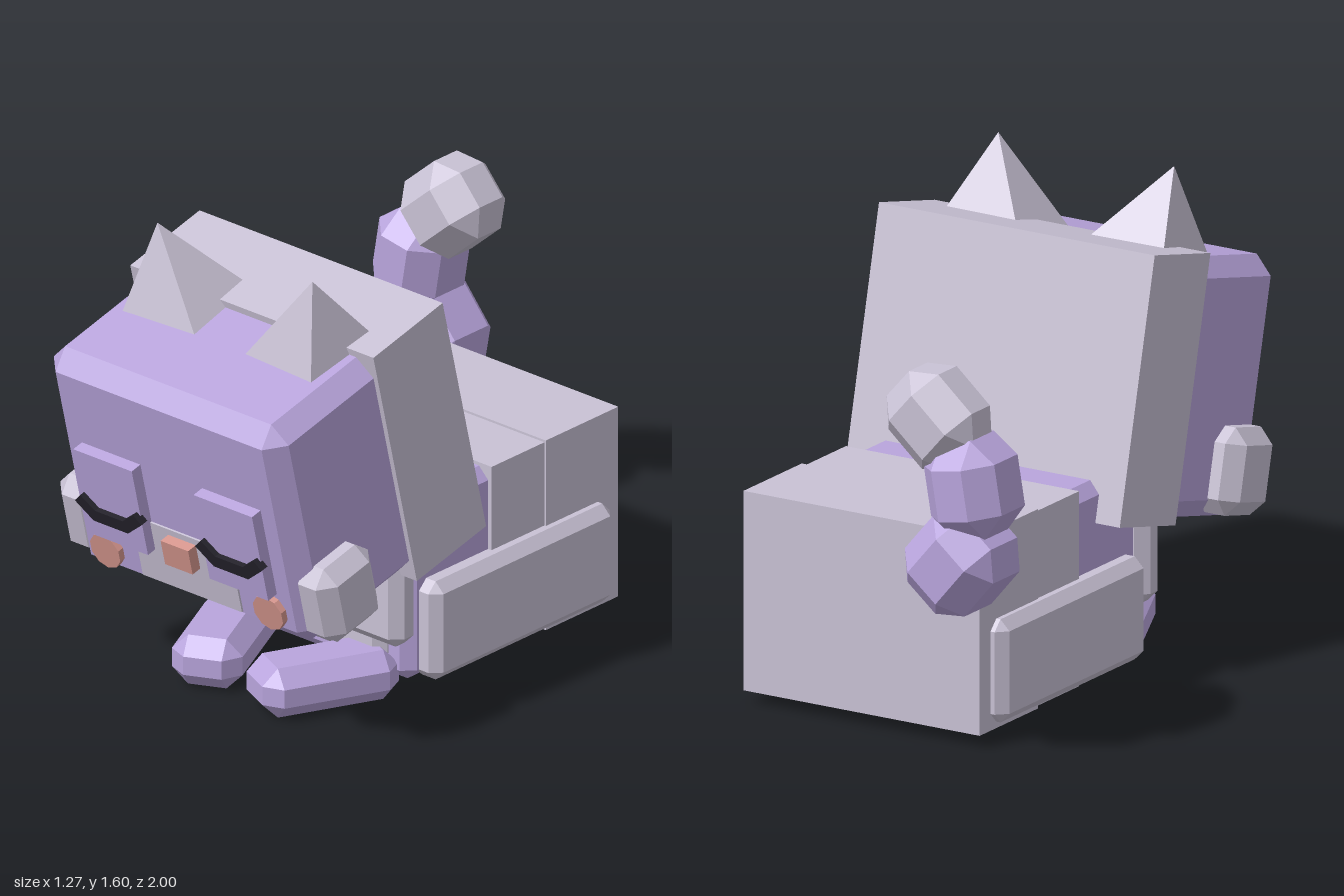
import * as THREE from 'three';
import { ConvexGeometry } from 'three/addons/geometries/ConvexGeometry.js';

const CX = 0.026; // symmetry plane of body and head

// Box with flat chamfers on every edge
function chamferBox(w, h, d, c) {
  const pts = [];
  for (const sx of [-1, 1]) for (const sy of [-1, 1]) for (const sz of [-1, 1]) {
    const x = w / 2, y = h / 2, z = d / 2;
    pts.push(new THREE.Vector3(sx * x, sy * (y - c), sz * (z - c)));
    pts.push(new THREE.Vector3(sx * (x - c), sy * y, sz * (z - c)));
    pts.push(new THREE.Vector3(sx * (x - c), sy * (y - c), sz * z));
  }
  return new ConvexGeometry(pts);
}

export function createModel() {
  const mat = (name, color) => {
    const m = new THREE.MeshStandardMaterial({ color });
    m.name = name;
    return m;
  };
  const purple = mat('lilac fur', 0xb9a5dd);
  const grey = mat('pale grey fur', 0xc9c2d5);
  const black = mat('dark lashes', 0x23212a);
  const pink = mat('pink skin', 0xd6968e);

  const model = new THREE.Group();
  model.name = 'sleepingPet';

  const add = (parent, name, geo, material, x, y, z) => {
    const m = new THREE.Mesh(geo, material);
    m.name = name;
    m.position.set(x, y, z);
    parent.add(m);
    return m;
  };
  // Parts given by their extents; c is the chamfer (0 for a plain box)
  const block = (parent, name, material, [x0, x1], [y0, y1], [z0, z1], c = 0) => {
    const s = [x1 - x0, y1 - y0, z1 - z0];
    const geo = c ? chamferBox(...s, c) : new THREE.BoxGeometry(...s);
    return add(parent, name, geo, material, (x0 + x1) / 2, (y0 + y1) / 2, (z0 + z1) / 2);
  };

  // Body
  block(model, 'body', purple, [-0.41, 0.457], [0.06, 0.70], [-0.3, 0.27], 0.04);
  block(model, 'backFur', grey, [-0.425, 0.472], [0.05, 0.712], [-0.4, -0.115]);
  block(model, 'rumpFur', grey, [-0.43, 0.478], [0.043, 0.72], [-0.72, -0.37]);
  block(model, 'chestFur', grey, [-0.44, 0.495], [0.22, 0.55], [0.25, 0.37], 0.038);
  block(model, 'lowerChestFur', grey, [-0.32, 0.37], [0.115, 0.40], [0.2, 0.31], 0.035);

  // Mirrored legs and paws
  for (const s of [-1, 1]) {
    const side = s > 0 ? 'left' : 'right';
    add(model, side + 'HindLeg', chamferBox(0.13, 0.35, 0.875, 0.035), grey,
      CX + s * 0.442, 0.24, -0.218);
    const paw = add(model, side + 'FrontPaw', chamferBox(0.24, 0.175, 0.48, 0.055), purple,
      CX + s * 0.215, 0.0875, 0.445);
    paw.rotation.y = -s * 0.436;
  }

  // Tail, curling up from lower segment to tip
  const tail = new THREE.Group();
  tail.name = 'tail';
  model.add(tail);
  const segments = [
    ['tailLower', purple, 0.3, 0.33, 0.32, -0.44, 0.675, -0.84, 0.7],
    ['tailMiddle', purple, 0.275, 0.33, 0.30, -0.485, 0.935, -0.838, -0.17],
    ['tailTip', grey, 0.29, 0.33, 0.27, -0.35, 1.142, -0.838, -0.85],
  ];
  for (const [name, m, w, h, d, x, y, z, roll] of segments) {
    add(tail, name, chamferBox(w, h, d, 0.08), m, x, y, z).rotation.z = roll;
  }

  // Head: local frame with origin at the centre of the back mane slab
  const head = new THREE.Group();
  head.name = 'head';
  head.position.set(CX, 0.963, 0.277);
  head.rotation.x = 0.237;
  model.add(head);
  block(head, 'mane', grey, [-0.53, 0.53], [-0.447, 0.447], [-0.172, 0.172]);
  block(head, 'skull', purple, [-0.512, 0.512], [-0.435, 0.422], [-0.1, 0.657], 0.063);
  block(head, 'muzzle', grey, [-0.216, 0.216], [-0.367, -0.13], [0.655, 0.664]);
  block(head, 'nose', pink, [-0.06, 0.06], [-0.246, -0.153], [0.655, 0.702]);

  for (const s of [-1, 1]) {
    const side = s > 0 ? 'left' : 'right';

    // Ear: four-sided pyramid with its tip leaning outward
    const earGeo = new THREE.ConeGeometry(0.213, 0.28, 4, 1);
    earGeo.rotateY(Math.PI / 4 - s * 0.05);
    earGeo.translate(0, 0.14, 0);
    earGeo.applyMatrix4(new THREE.Matrix4().set(
      1, s * 0.25, 0, 0, 0, 1, 0, 0, 0, 0, 1, 0, 0, 0, 0, 1));
    const ear = earGeo.toNonIndexed();
    ear.computeVertexNormals();
    add(head, side + 'Ear', ear, grey, s * 0.268, 0.42, 0.195);

    // Cheek tuft and blush disc
    add(head, side + 'CheekTuft', chamferBox(0.18, 0.29, 0.26, 0.052), grey,
      s * 0.515, -0.273, 0.508);
    const disc = new THREE.CylinderGeometry(0.065, 0.065, 0.03, 10).rotateX(Math.PI / 2);
    const blush = disc.toNonIndexed();
    blush.computeVertexNormals();
    add(head, side + 'Blush', blush, pink, s * 0.355, -0.312, 0.665);

    // Closed eyelid with a bent lash line
    add(head, side + 'Eyelid', new THREE.BoxGeometry(0.255, 0.335, 0.05), purple,
      s * 0.262, -0.07, 0.675);
    const lash = new THREE.Shape();
    [[-0.145, -0.1], [-0.075, -0.157], [0.075, -0.157], [0.145, -0.1],
      [0.115, -0.069], [0.06, -0.113], [-0.06, -0.113], [-0.115, -0.069]]
      .forEach(([x, y], i) => (i ? lash.lineTo(x, y) : lash.moveTo(x, y)));
    add(head, side + 'Lash',
      new THREE.ExtrudeGeometry(lash, { depth: 0.03, bevelEnabled: false }), black,
      s * 0.262, 0, 0.69);
  }
  return model;
}
